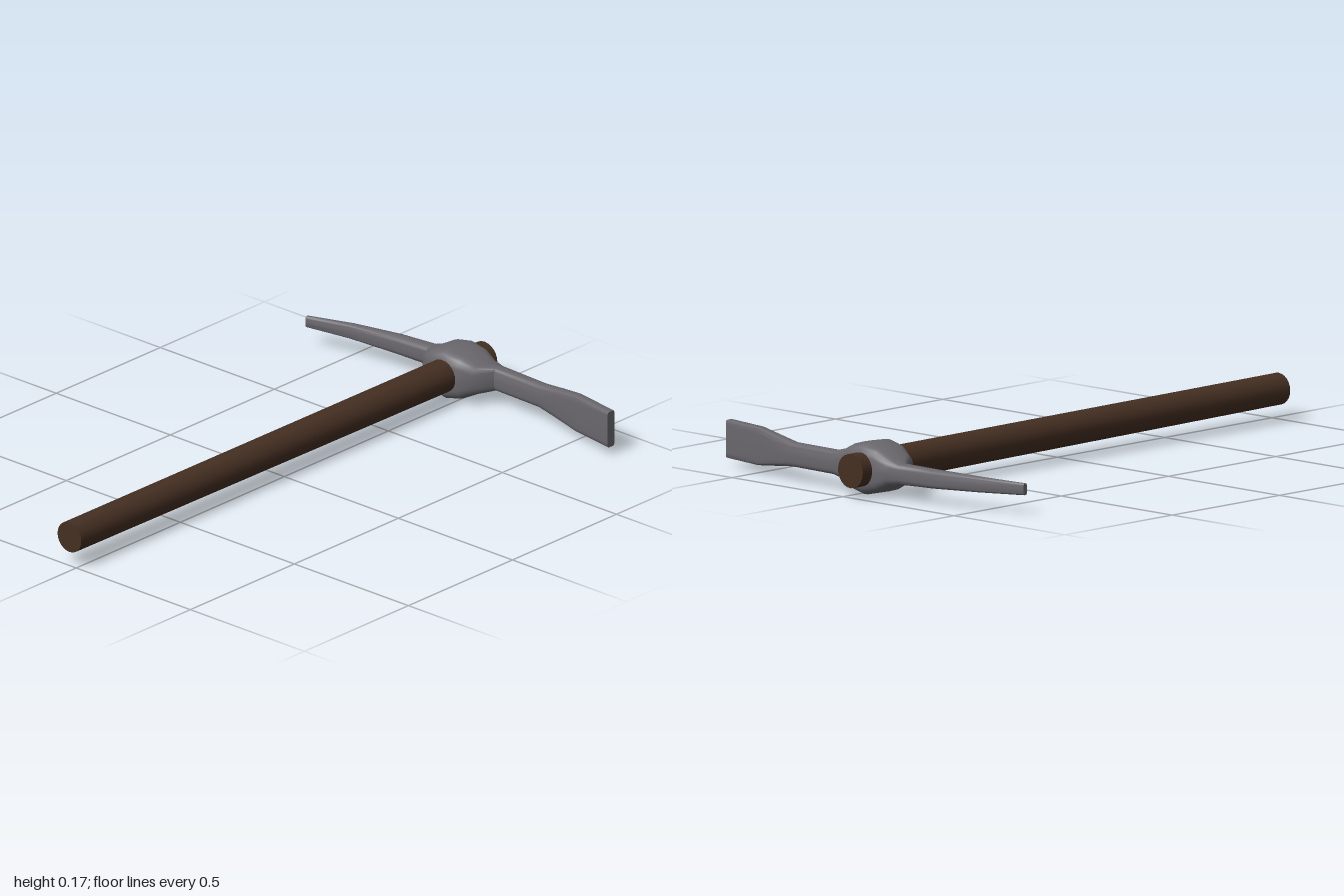
import * as THREE from 'three';
import { toCreasedNormals } from 'three/addons/utils/BufferGeometryUtils.js';

// Closed loft along x. Each section: [x, yMin, yMax, zMin, zMax, squareness]
function loftX(sections, sides) {
  const pos = [], index = [];
  const soften = (v, n) => Math.sign(v) * Math.pow(Math.abs(v), 2 / n);
  for (const [x, y0, y1, z0, z1, n] of sections) {
    for (let j = 0; j < sides; j++) {
      const a = (j / sides) * Math.PI * 2;
      pos.push(
        x,
        (y0 + y1) / 2 + ((y1 - y0) / 2) * soften(Math.cos(a), n),
        (z0 + z1) / 2 + ((z1 - z0) / 2) * soften(Math.sin(a), n)
      );
    }
  }
  const last = (sections.length - 1) * sides;
  for (let i = 0; i < sections.length - 1; i++) {
    for (let j = 0; j < sides; j++) {
      const a = i * sides + j, b = i * sides + ((j + 1) % sides);
      index.push(a, b, a + sides, b, b + sides, a + sides);
    }
  }
  for (let j = 1; j < sides - 1; j++) {
    index.push(0, j + 1, j, last, last + j, last + j + 1);
  }
  const g = new THREE.BufferGeometry();
  g.setAttribute('position', new THREE.Float32BufferAttribute(pos, 3));
  g.setIndex(index);
  return toCreasedNormals(g, 0.75);
}

export function createModel() {
  const wood = new THREE.MeshStandardMaterial({ color: 0x452f22 });
  wood.name = 'dark wood';
  const steel = new THREE.MeshStandardMaterial({ color: 0x6a686d });
  steel.name = 'grey steel';

  const model = new THREE.Group();
  model.name = 'pickaxe';

  // Handle: slightly tapered shaft, dipping a little toward the head
  const shaft = toCreasedNormals(new THREE.CylinderGeometry(0.052, 0.056, 2, 24), 0.75);
  shaft.rotateX(Math.PI / 2);
  const p = shaft.attributes.position;
  for (let i = 0; i < p.count; i++) {
    const z = p.getZ(i);
    p.setXYZ(i, p.getX(i) - 0.032 + z * 0.002, p.getY(i) + 0.097 + z * 0.006, z);
  }
  const handle = new THREE.Mesh(shaft, wood);
  handle.name = 'handle';
  model.add(handle);

  // Head: narrow pick arm, swollen eye around the handle, flared blade arm
  const head = new THREE.Mesh(loftX([
    [-0.66, 0.069, 0.108, -0.841, -0.825, 4],
    [-0.50, 0.064, 0.114, -0.889, -0.857, 4],
    [-0.32, 0.058, 0.119, -0.923, -0.875, 4],
    [-0.18, 0.055, 0.122, -0.935, -0.882, 4],
    [-0.14, 0.043, 0.138, -0.948, -0.818, 3.5],
    [-0.09, 0.016, 0.166, -0.957, -0.797, 4],
    [-0.033, 0.003, 0.177, -0.957, -0.792, 4.5],
    [0.025, 0.016, 0.166, -0.957, -0.797, 4],
    [0.072, 0.040, 0.142, -0.946, -0.818, 3.5],
    [0.115, 0.052, 0.130, -0.935, -0.882, 4],
    [0.31, 0.052, 0.130, -0.925, -0.878, 4],
    [0.40, 0.041, 0.143, -0.910, -0.868, 5],
    [0.49, 0.030, 0.155, -0.893, -0.856, 7],
    [0.66, 0.030, 0.155, -0.863, -0.830, 9]
  ], 24), steel);
  head.name = 'head';
  model.add(head);

  return model;
}
